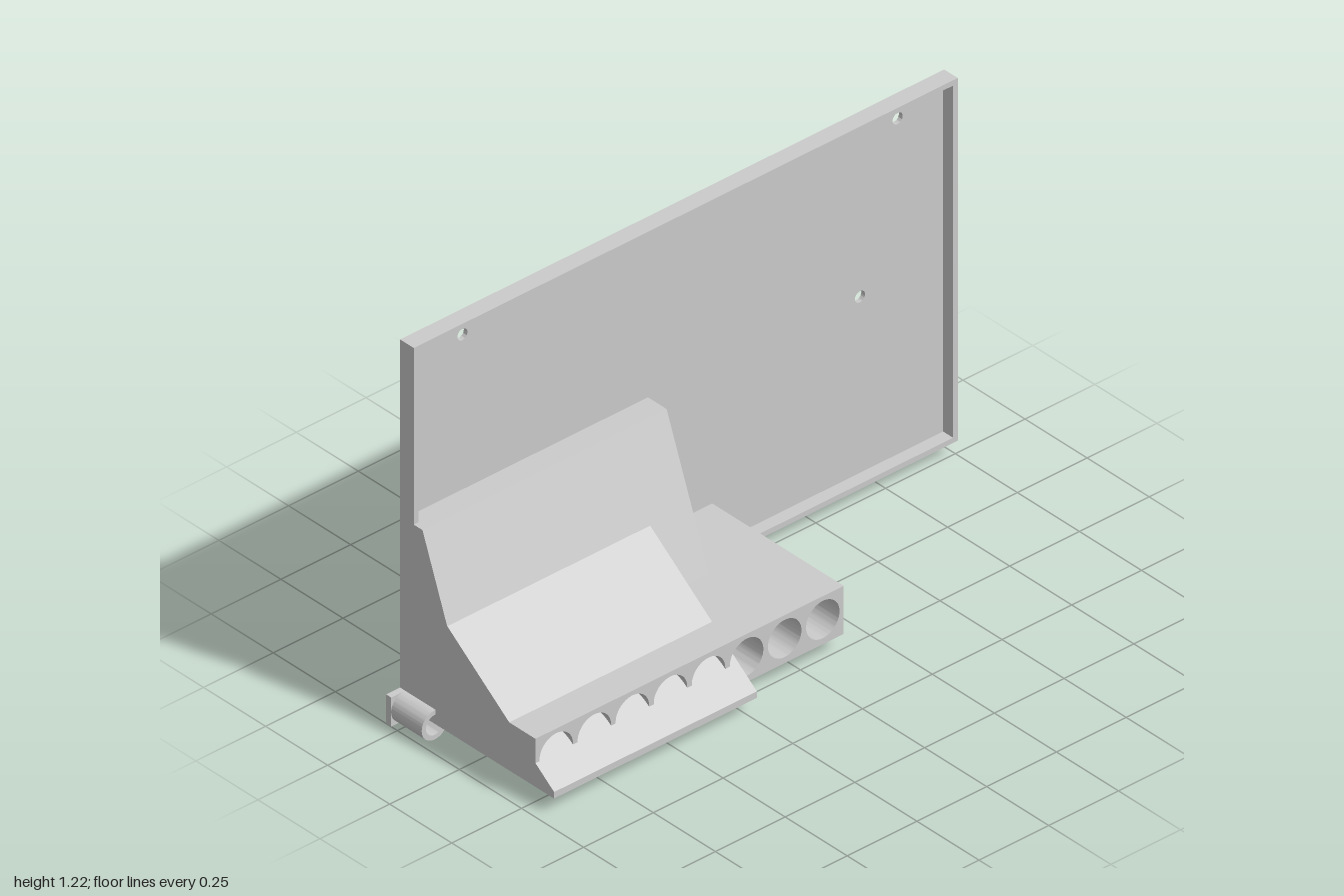
import * as THREE from 'three';
import { toCreasedNormals } from 'three/addons/utils/BufferGeometryUtils.js';

const material = new THREE.MeshStandardMaterial({ color: 0xcccccc });

function rectShape(x0, x1, y0, y1) {
  return new THREE.Shape([[x0, y0], [x1, y0], [x1, y1], [x0, y1]].map(p => new THREE.Vector2(...p)));
}

function circle(x, y, r) {
  return new THREE.Path().absarc(x, y, r, 0, Math.PI * 2, true);
}

// Extrude a front-facing outline between two z positions.
function slab(shape, z0, z1) {
  const g = new THREE.ExtrudeGeometry(shape, { depth: z1 - z0, bevelEnabled: false, curveSegments: 32 });
  return toCreasedNormals(g.translate(0, 0, z0), 0.6);
}

// Extrude a [z, y] side profile between two x positions.
function prism(points, x0, x1) {
  const shape = new THREE.Shape(points.map(p => new THREE.Vector2(...p)));
  const g = new THREE.ExtrudeGeometry(shape, { depth: x1 - x0, bevelEnabled: false });
  return g.rotateY(-Math.PI / 2).translate(x1, 0, 0);
}

export function createModel() {
  const model = new THREE.Group();
  const add = (name, geometry) => {
    const mesh = new THREE.Mesh(geometry, material);
    mesh.name = name;
    model.add(mesh);
  };

  const left = -0.95, back = -0.295, floor = -0.28, front = -0.24;

  // Thin back panel with screw holes
  const panel = rectShape(left, 1, 0.05, 1.22);
  const screwHoles = [[-0.74, 1.15], [0.82, 1.15], [0.685, 0.635], [0.02, 0.215]];
  screwHoles.forEach(([x, y]) => panel.holes.push(circle(x, y, 0.018)));
  add('backPanel', slab(panel, back, floor));

  // Raised rim around the panel
  const rim = rectShape(left, 1, 0.05, 1.22);
  rim.holes.push(rectShape(left + 0.017, 0.983, 0.067, 1.203));
  add('panelRim', slab(rim, floor, front));

  // Base block with a row of round sockets in its front
  const socketEnd = 0.005;
  add('baseBack', slab(rectShape(left, 0.155, 0.05, 0.205), floor, socketEnd));
  const base = rectShape(left, 0.155, 0.05, 0.205);
  for (let i = 0; i < 8; i++) base.holes.push(circle(0.08 - i * 0.1365, 0.13, 0.06));
  add('baseSockets', slab(base, socketEnd, 0.25));

  // Steep upper ramp, running down through the base
  add('upperRamp', prism(
    [[floor, 0.05], [0.024, 0.05], [-0.205, 0.65], [floor, 0.65]], left, -0.075));

  // Shallow lower ramp, crossing the sockets and ending in the front lip
  add('lowerRamp', prism(
    [[-0.2, 0.05], [0.325, 0.05], [0.325, 0.071], [-0.105, 0.39], [-0.2, 0.39]], left, -0.223));

  // Corner bracket: square plate with a hollow sleeve
  add('bracketPlate', slab(rectShape(-1, -0.907, 0.003, 0.097), back, -0.275));
  const sleeve = new THREE.Shape().absarc(-0.953, 0.05, 0.047, 0, Math.PI * 2, false);
  sleeve.holes.push(circle(-0.953, 0.05, 0.032));
  add('bracketSleeve', slab(sleeve, -0.275, -0.152));

  // Tapered pegs on the back
  const pegs = [[-0.51, 0.345], [-0.585, 0.245], [-0.395, 0.13], [-0.953, 0.05]];
  pegs.forEach(([x, y], i) => {
    const g = new THREE.CylinderGeometry(0.01, 0.0145, 0.032, 24);
    add('peg' + (i + 1), g.rotateX(-Math.PI / 2).translate(x, y, -0.309));
  });

  return model;
}
